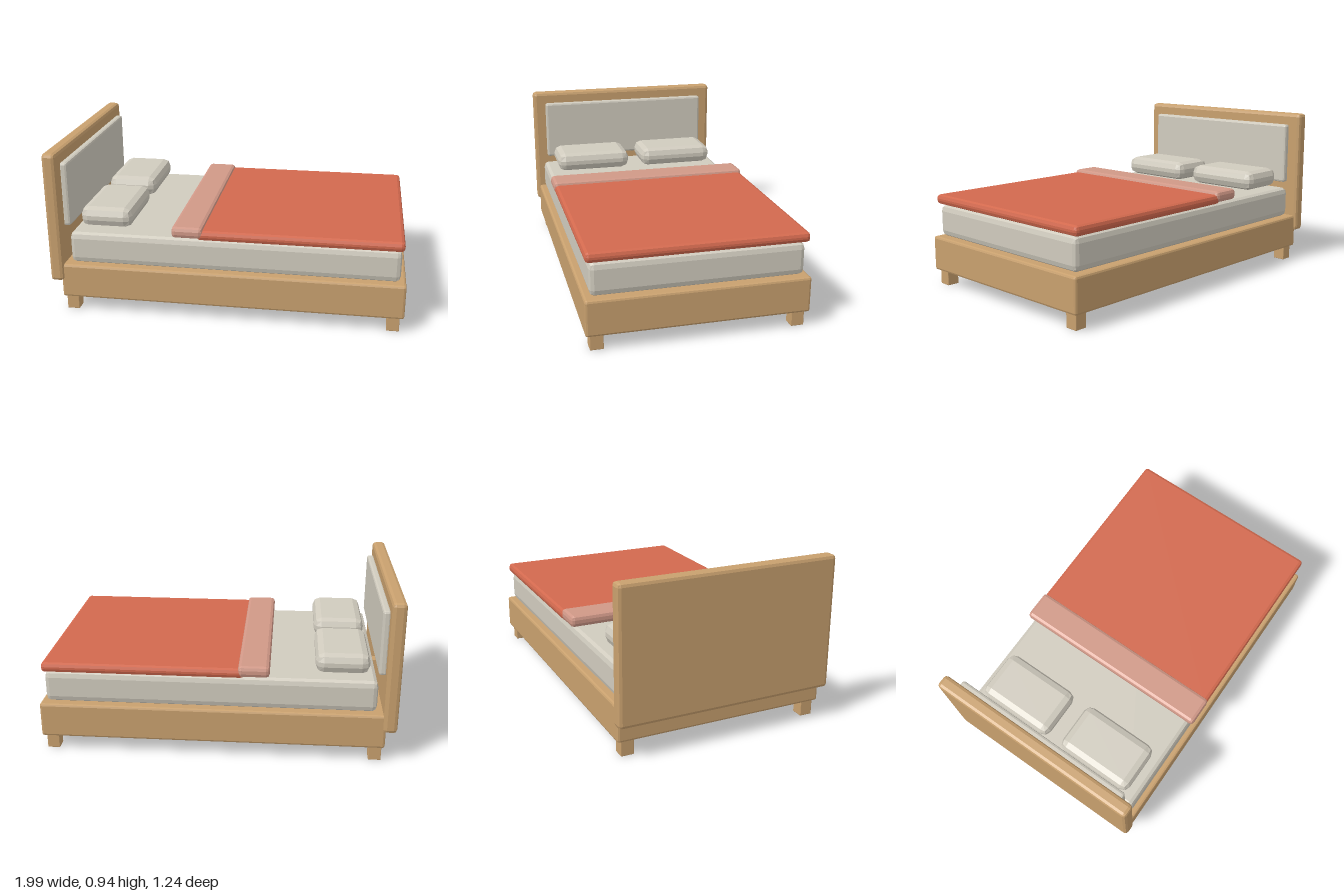
import * as THREE from 'three';

const material = (name, color) => {
  const m = new THREE.MeshStandardMaterial({ color });
  m.name = name;
  return m;
};

// Box between two corners with faceted rounded edges; radii are per axis
function softBox(min, max, radii) {
  const size = max.map((v, i) => v - min[i]);
  const box = new THREE.BoxGeometry(1, 1, 1, 3, 3, 3);
  const pos = box.attributes.position;
  const dir = new THREE.Vector3();
  for (let i = 0; i < pos.count; i++) {
    const sign = [pos.getX(i), pos.getY(i), pos.getZ(i)].map(Math.sign);
    dir.fromBufferAttribute(pos, i);
    const outer = dir.toArray().map((v, a) => (Math.abs(v) > 0.4 ? sign[a] : 0));
    dir.fromArray(outer).normalize();
    const p = dir.toArray().map((v, a) => sign[a] * (size[a] / 2 - radii[a]) + v * radii[a]);
    pos.setXYZ(i, ...p);
  }
  const flat = box.toNonIndexed();
  flat.computeVertexNormals();
  flat.translate(...min.map((v, i) => (v + max[i]) / 2));
  return flat;
}

export function createModel() {
  const bed = new THREE.Group();
  bed.name = 'bed';
  const wood = material('wood', 0xc8a06e);
  const linen = material('linen', 0xd0cbbe);
  const red = material('red blanket', 0xd2694e);
  const pink = material('pink fold', 0xd09887);

  const add = (name, mat, min, max, radii) => {
    const mesh = new THREE.Mesh(softBox(min, max, radii), mat);
    mesh.name = name;
    bed.add(mesh);
  };

  // Wooden frame and headboard
  add('base', wood, [-0.94, 0.085, -0.605], [0.995, 0.285, 0.605], [0.013, 0.013, 0.013]);
  add('headboard', wood, [-1, 0.187, -0.622], [-0.922, 0.94, 0.622], [0.02, 0.02, 0.02]);
  add('headboardBracket', wood, [-0.925, 0.36, -0.03], [-0.892, 0.375, 0.03], [0.002, 0.002, 0.002]);

  // Four short legs
  for (const x of [-0.89, 0.937])
    for (const z of [-0.545, 0.545])
      add('leg', wood, [x - 0.035, 0, z - 0.036], [x + 0.035, 0.095, z + 0.036], [0.003, 0.003, 0.003]);

  // Padded panel and mattress
  add('headboardPanel', linen, [-0.93, 0.5, -0.545], [-0.885, 0.87, 0.545], [0.013, 0.013, 0.013]);
  add('mattress', linen, [-0.887, 0.288, -0.574], [0.963, 0.47, 0.574], [0.025, 0.035, 0.025]);

  // Pair of pillows
  for (const z of [-0.285, 0.275])
    add('pillow', linen, [-0.843, 0.482, z - 0.235], [-0.545, 0.597, z + 0.235], [0.045, 0.045, 0.045]);

  // Blanket and its turned-down edge
  add('blanket', red, [-0.155, 0.474, -0.595], [0.975, 0.53, 0.595], [0.02, 0.022, 0.02]);
  add('blanketFold', pink, [-0.295, 0.483, -0.6], [-0.12, 0.547, 0.6], [0.02, 0.022, 0.02]);

  return bed;
}
